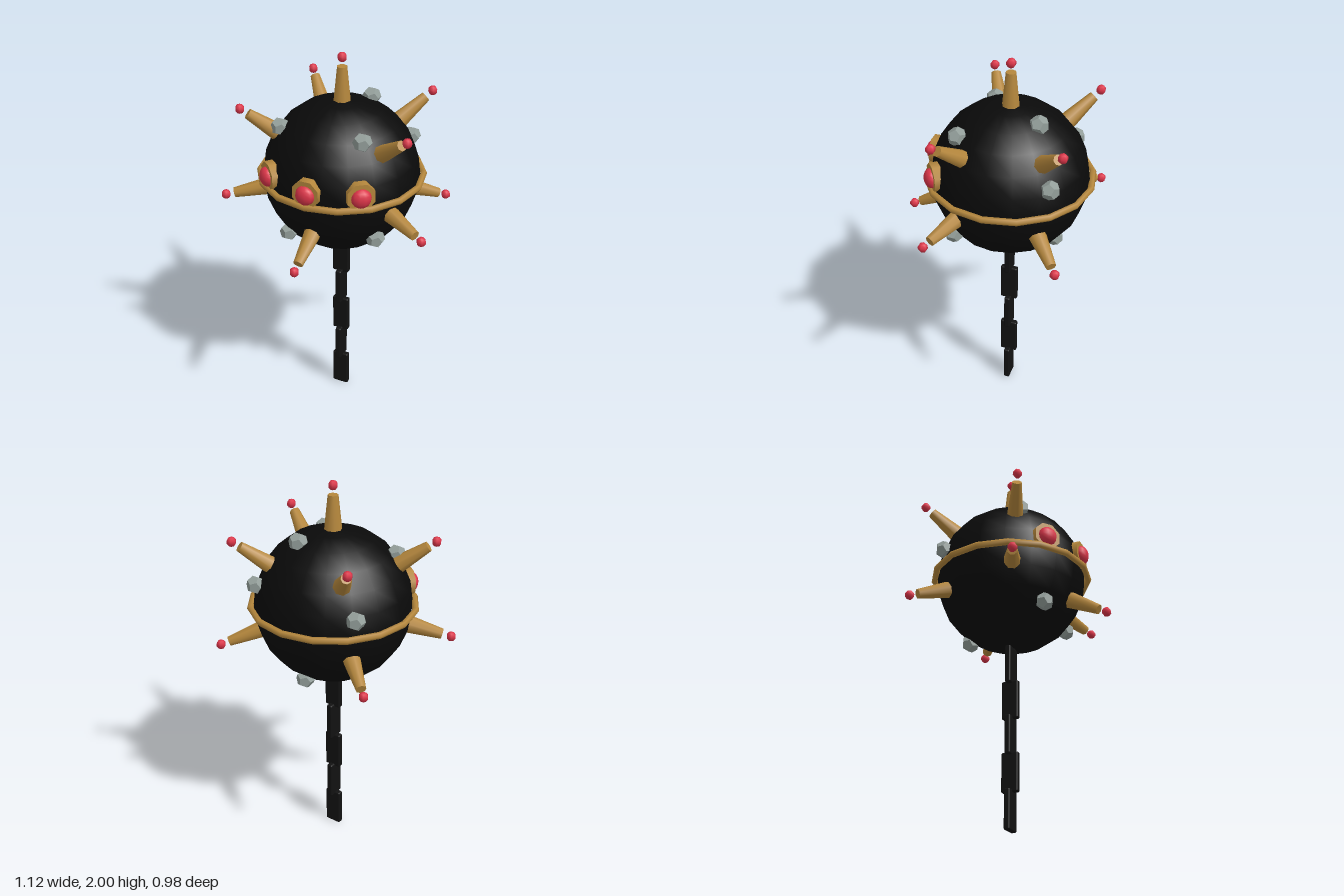
import * as THREE from 'three';
import { RoundedBoxGeometry } from 'three/addons/geometries/RoundedBoxGeometry.js';

const mat = (name, color, flatShading = false) => {
  const m = new THREE.MeshStandardMaterial({ color, flatShading });
  m.name = name;
  return m;
};

export function createModel() {
  const black = mat('black shell', 0x0a0a0a);
  const chain = mat('dark chain', 0x121212);
  const gold = mat('gold', 0xb5873c);
  const red = mat('red', 0xdc3549);
  const grey = mat('grey', 0x939e9a);

  const model = new THREE.Group();
  const add = (parent, name, geometry, material, x = 0, y = 0, z = 0) => {
    const mesh = new THREE.Mesh(geometry, material);
    mesh.name = name;
    mesh.position.set(x, y, z);
    parent.add(mesh);
    return mesh;
  };

  // Everything on the ball is placed relative to its centre
  const ball = new THREE.Group();
  ball.name = 'ball';
  ball.position.set(0, 1.367, -0.065);
  model.add(ball);
  add(ball, 'shell', new THREE.SphereGeometry(0.397, 18, 12), black);

  // Belt around the middle
  const belt = new THREE.TorusGeometry(0.414, 0.017, 6, 16).rotateX(Math.PI / 2);
  add(ball, 'belt', belt, gold);

  // Radial spikes with ball tips
  const up = new THREE.Vector3(0, 1, 0);
  const spikeGeo = new THREE.CylinderGeometry(0.026, 0.047, 0.2, 8);
  const tipGeo = new THREE.SphereGeometry(0.025, 6, 5);
  const addSpike = (x, y, z) => {
    const spike = new THREE.Group();
    spike.name = 'spike';
    const dir = new THREE.Vector3(x, y, z).normalize();
    spike.quaternion.setFromUnitVectors(up, dir);
    add(spike, 'spikeCone', spikeGeo, gold, 0, 0.463, 0);
    const tip = add(spike, 'spikeTip', tipGeo, red, 0, 0.609, 0);
    tip.quaternion.copy(spike.quaternion).invert();
    ball.add(spike);
  };
  addSpike(0, 1, 0);
  addSpike(0, -0.3, 0.54);
  for (const s of [-1, 1]) {
    addSpike(s * 0.44, 0.353, 0.235);
    addSpike(s * 0.34, 0.368, -0.36);
    addSpike(s * 0.54, -0.137, 0.255);
    addSpike(s * 0.44, -0.217, -0.37);
  }

  // Grey studs scattered over the shell
  const studGeo = new THREE.DodecahedronGeometry(0.048);
  const studs = [
    [-0.26, 0.27, 0.17], [0.2, 0.29, 0.2], [0.085, 0.365, -0.17], [0.26, 0.13, -0.28],
    [-0.31, 0.09, -0.25], [-0.17, -0.26, 0.265], [0.28, -0.22, 0.2], [0, -0.33, -0.24],
  ];
  for (const p of studs) {
    const stud = add(ball, 'stud', studGeo, grey);
    stud.position.set(...p).setLength(0.405);
  }

  // Three lamps above the belt, each turned outward
  const rimGeo = new THREE.CylinderGeometry(0.074, 0.074, 0.06, 8).rotateY(Math.PI / 8).rotateX(Math.PI / 2);
  const lensGeo = new THREE.SphereGeometry(0.05, 10, 8).scale(1, 1, 0.7);
  for (const angle of [-0.67, 0, 0.67]) {
    const lamp = new THREE.Group();
    lamp.name = 'lamp';
    lamp.rotation.y = angle;
    add(lamp, 'lampRim', rimGeo, gold, 0, 0.066, 0.378);
    add(lamp, 'lampLens', lensGeo, red, 0, 0.063, 0.408);
    ball.add(lamp);
  }

  // Hanging chain of flat links, each turned a quarter against the next
  const linkGeo = new RoundedBoxGeometry(0.09, 0.205, 0.032, 2, 0.008);
  for (let i = 0; i < 5; i++) {
    const link = add(model, 'chainLink', linkGeo, chain, 0, 0.1035 + i * 0.191, -0.065);
    link.rotation.y = (i % 2) * Math.PI / 2;
  }
  return model;
}
